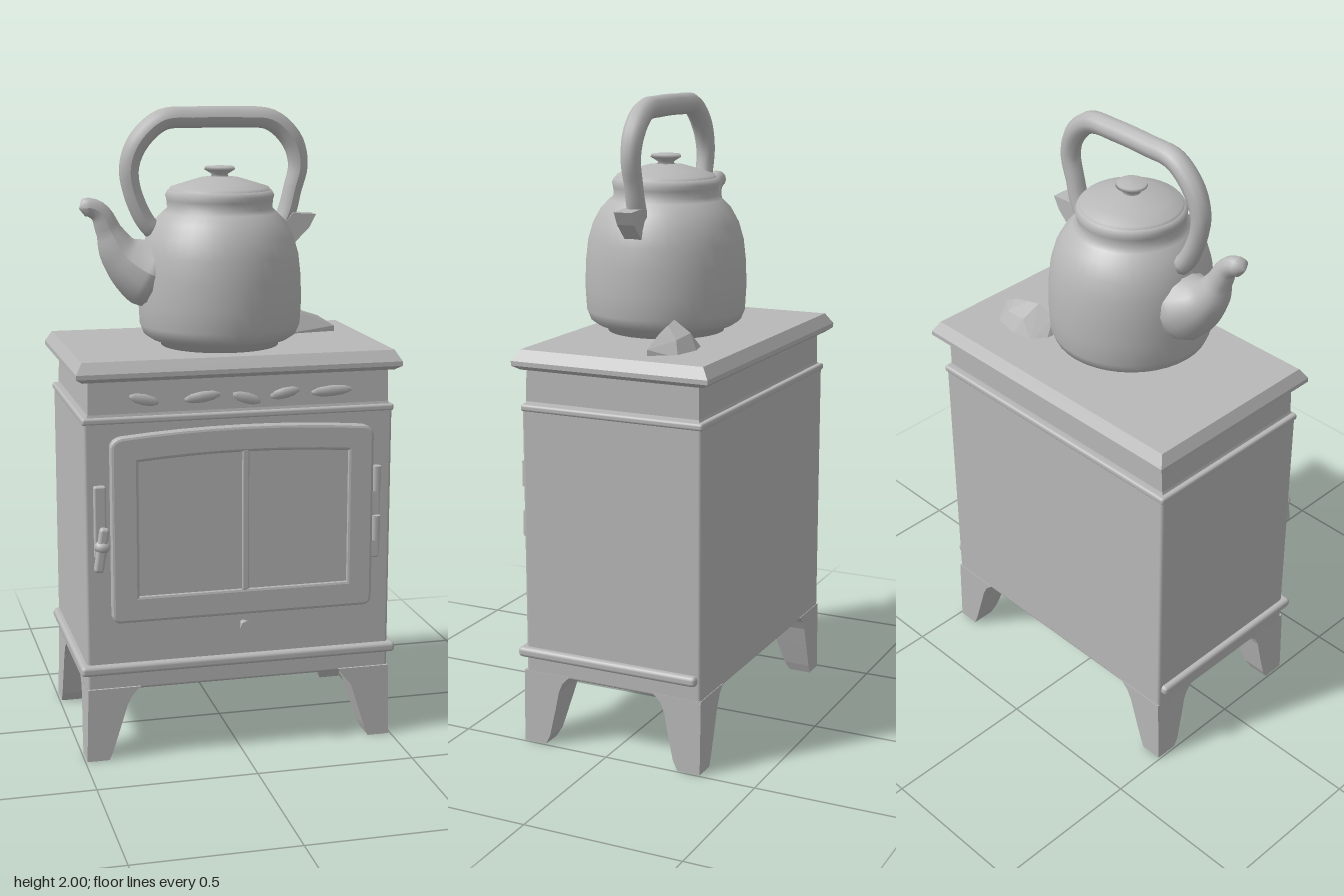
import * as THREE from 'three';
import { ConvexGeometry } from 'three/addons/geometries/ConvexGeometry.js';
import { RoundedBoxGeometry } from 'three/addons/geometries/RoundedBoxGeometry.js';

export function createModel() {
  const model = new THREE.Group();
  const iron = new THREE.MeshStandardMaterial({ color: 0xb8b8b8 });
  iron.name = 'grey iron';

  const add = (name, geometry, x = 0, y = 0, z = 0, parent = model) => {
    const mesh = new THREE.Mesh(geometry, iron);
    mesh.name = name;
    mesh.position.set(x, y, z);
    parent.add(mesh);
    return mesh;
  };

  // Box given by its two corners, with softened edges
  const block = (name, x0, x1, y0, y1, z0, z1, r = 0.006, parent = model) =>
    add(name, new RoundedBoxGeometry(x1 - x0, y1 - y0, z1 - z0, 2, r),
      (x0 + x1) / 2, (y0 + y1) / 2, (z0 + z1) / 2, parent);

  // Rectangular loft through levels [y, x0, x1, z0, z1], bottom to top
  const rectLoft = (levels) => {
    const rings = levels.map(([y, a, b, c, d]) => [[a, y, d], [b, y, d], [b, y, c], [a, y, c]]);
    const pos = [];
    const quad = (p, q, r, s) => pos.push(...p, ...q, ...r, ...p, ...r, ...s);
    for (let i = 0; i + 1 < rings.length; i++) {
      for (let k = 0; k < 4; k++) {
        const n = (k + 1) % 4;
        quad(rings[i][k], rings[i][n], rings[i + 1][n], rings[i + 1][k]);
      }
    }
    quad(...[...rings[0]].reverse());
    quad(...rings[rings.length - 1]);
    const g = new THREE.BufferGeometry();
    g.setAttribute('position', new THREE.Float32BufferAttribute(pos, 3));
    g.computeVertexNormals();
    return g;
  };

  // Round tube along points [x, y, z, radius], closed at both ends
  const taperTube = (points, segments, sides) => {
    const path = new THREE.CatmullRomCurve3(points.map((p) => new THREE.Vector3(p[0], p[1], p[2])));
    const g = new THREE.TubeGeometry(path, segments, 1, sides, false);
    const pos = g.attributes.position;
    const v = new THREE.Vector3();
    for (let i = 0; i <= segments; i++) {
      const c = path.getPointAt(i / segments);
      const t = path.getUtoTmapping(i / segments) * (points.length - 1);
      const k = Math.min(Math.floor(t), points.length - 2);
      let r = THREE.MathUtils.lerp(points[k][3], points[k + 1][3], t - k);
      if (i === 0 || i === segments) r = 0.001;
      for (let j = 0; j <= sides; j++) {
        const n = i * (sides + 1) + j;
        v.fromBufferAttribute(pos, n).sub(c).multiplyScalar(r).add(c);
        pos.setXYZ(n, v.x, v.y, v.z);
      }
    }
    g.computeVertexNormals();
    return g;
  };

  // Stove casing
  block('body', -0.488, 0.486, 0.225, 1.085, -0.315, 0.285, 0.01);
  add('neck', rectLoft([
    [1.07, -0.485, 0.483, -0.312, 0.284],
    [1.1, -0.474, 0.474, -0.302, 0.276],
    [1.215, -0.47, 0.474, -0.302, 0.272],
  ]));
  block('upperMoulding', -0.493, 0.491, 1.07, 1.092, -0.32, 0.288, 0.008);
  add('topPlate', rectLoft([
    [1.2, -0.49, 0.49, -0.325, 0.285],
    [1.214, -0.51, 0.51, -0.345, 0.305],
    [1.228, -0.51, 0.51, -0.345, 0.305],
    [1.262, -0.49, 0.49, -0.322, 0.283],
  ]));

  // Base moulding on the front and sides
  block('baseMoulding', -0.508, 0.506, 0.282, 0.314, -0.305, 0.306, 0.012);

  // Flared legs
  const legs = new THREE.Group();
  legs.name = 'legs';
  model.add(legs);
  const flare = [[0.01, 0.07, 0.075], [0.03, 0.082, 0.09], [0.12, 0.108, 0.11],
    [0.18, 0.125, 0.122], [0.21, 0.14, 0.135], [0.235, 0.165, 0.16]];
  for (const sx of [-1, 1]) {
    for (const front of [true, false]) {
      const levels = flare.map(([y, w, d], i) => {
        const out = 0.494 - y * 0.03;
        const [x0, x1] = sx > 0 ? [out - w, out] : [-out, -out + w];
        const f = 0.292, b = -0.317;
        return [i ? y : 0, x0, x1, front ? f - d : b, front ? f : b + d];
      });
      add((front ? 'front' : 'back') + (sx > 0 ? 'LeftLeg' : 'RightLeg'), rectLoft(levels), 0, 0, 0, legs);
    }
  }

  // Door with gently arched top, framed window and centre bar
  const door = new THREE.Group();
  door.name = 'door';
  model.add(door);
  const outline = new THREE.Shape();
  outline.moveTo(-0.385, 0.46);
  outline.lineTo(0.39, 0.46);
  outline.quadraticCurveTo(0.41, 0.46, 0.41, 0.48);
  outline.lineTo(0.41, 1.0);
  outline.quadraticCurveTo(0.408, 1.02, 0.385, 1.025);
  outline.quadraticCurveTo(0, 1.06, -0.375, 1.025);
  outline.quadraticCurveTo(-0.402, 1.02, -0.402, 1.0);
  outline.lineTo(-0.402, 0.48);
  outline.quadraticCurveTo(-0.402, 0.46, -0.385, 0.46);
  const opening = new THREE.Path();
  opening.moveTo(-0.335, 0.525);
  opening.lineTo(-0.335, 0.965);
  opening.quadraticCurveTo(0, 0.995, 0.345, 0.965);
  opening.lineTo(0.345, 0.525);
  opening.closePath();
  outline.holes.push(opening);
  add('doorFrame', new THREE.ExtrudeGeometry(outline, {
    depth: 0.03, bevelThickness: 0.007, bevelSize: 0.009, bevelSegments: 2, curveSegments: 8,
  }), 0, 0, 0.278, door);
  block('windowPanel', -0.35, 0.36, 0.51, 0.99, 0.28, 0.308, 0.003, door);
  block('windowBar', -0.003, 0.019, 0.53, 0.98, 0.3, 0.314, 0.005, door);

  // Door latch and hinges
  block('latchPlate', -0.462, -0.425, 0.66, 0.885, 0.28, 0.305, 0.006, door);
  const latch = block('latchHandle', -0.458, -0.428, 0.62, 0.76, 0.3, 0.328, 0.01, door);
  latch.rotation.z = -0.15;
  const latchKnob = add('latchKnob', new THREE.SphereGeometry(0.026, 8, 6), -0.44, 0.7, 0.312, door);
  latchKnob.scale.y = 0.8;
  block('hingePlate', 0.418, 0.448, 0.6, 0.88, 0.278, 0.298, 0.006, door);
  for (const y of [0.7, 0.86]) {
    add('hingePin', new THREE.CylinderGeometry(0.015, 0.015, 0.08, 8), 0.432, y, 0.302, door);
  }

  // Air control knob below the door
  const knob = add('airKnob', new THREE.CylinderGeometry(0.023, 0.016, 0.03, 8), 0.007, 0.415, 0.325);
  knob.rotation.x = Math.PI / 2;
  const stem = add('airKnobStem', new THREE.CylinderGeometry(0.01, 0.01, 0.05, 8), 0.007, 0.415, 0.3);
  stem.rotation.x = Math.PI / 2;

  // Small worn ornaments on the neck
  for (const [x, y, w, tilt] of [[-0.3, 1.14, 0.1, -0.25], [-0.12, 1.14, 0.12, 0.12],
    [0.02, 1.13, 0.1, -0.3], [0.14, 1.14, 0.1, 0.2], [0.29, 1.14, 0.14, 0.05]]) {
    const bump = add('neckOrnament', new THREE.SphereGeometry(0.5, 8, 5), x, y, 0.274);
    bump.scale.set(w, 0.035, 0.018);
    bump.rotation.z = tilt;
  }

  // Kettle
  const kettle = new THREE.Group();
  kettle.name = 'kettle';
  kettle.position.set(-0.008, 0, 0.037);
  model.add(kettle);
  const lathe = (name, pts) => add(name, new THREE.LatheGeometry(
    pts.map((p) => new THREE.Vector2(p[0], p[1])), 40), 0, 0, 0, kettle);
  lathe('kettleBody', [[0, 1.26], [0.185, 1.26], [0.185, 1.28], [0.218, 1.285], [0.24, 1.3],
    [0.252, 1.33], [0.256, 1.4], [0.254, 1.48], [0.246, 1.55], [0.23, 1.605], [0.205, 1.65],
    [0.178, 1.677], [0.164, 1.69], [0.166, 1.715], [0.17, 1.73], [0.162, 1.745], [0.14, 1.747]]);
  lathe('lid', [[0.16, 1.74], [0.154, 1.754], [0.11, 1.768], [0.06, 1.783], [0, 1.79]]);
  lathe('lidKnob', [[0.032, 1.78], [0.024, 1.793], [0.048, 1.808], [0.045, 1.817], [0, 1.82]]);

  add('spout', taperTube([[-0.14, 1.47, 0, 0.1], [-0.24, 1.5, 0, 0.11], [-0.315, 1.555, 0.004, 0.066],
    [-0.352, 1.625, 0.008, 0.04], [-0.378, 1.68, 0.011, 0.032],
    [-0.41, 1.7, 0.012, 0.03], [-0.444, 1.697, 0.013, 0.026]], 28, 14), 0, 0, 0, kettle);

  // Arched carrying handle with its lugs
  const r = 0.034;
  add('handle', taperTube([[-0.2, 1.61, -0.006, 0.03], [-0.24, 1.66, -0.006, 0.03],
    [-0.277, 1.75, -0.006, 0.029], [-0.284, 1.82, -0.006, 0.031], [-0.255, 1.895, -0.006, r],
    [-0.18, 1.96, -0.006, r], [-0.08, 1.967, -0.006, r], [0.06, 1.967, -0.006, r],
    [0.165, 1.957, -0.006, r], [0.233, 1.895, -0.006, r], [0.254, 1.82, -0.006, 0.031],
    [0.236, 1.74, -0.006, 0.029], [0.218, 1.67, -0.006, 0.03], [0.19, 1.61, -0.006, 0.03]],
  64, 10), 0, 0, 0, kettle);
  const lugPoints = [];
  for (const z of [-0.032, 0.026]) {
    for (const [x, y] of [[0.19, 1.62], [0.235, 1.575], [0.285, 1.625], [0.306, 1.665], [0.23, 1.67]]) {
      lugPoints.push(new THREE.Vector3(x, y, z));
    }
  }
  add('handleLug', new ConvexGeometry(lugPoints), 0, 0, 0, kettle);

  // Folded cloth lying behind the kettle
  const cloth = [[0.17, 1.255, -0.07], [0.415, 1.255, -0.105], [0.4, 1.255, -0.13], [0.37, 1.255, -0.185],
    [0.28, 1.255, -0.205], [0.21, 1.255, -0.19], [0.18, 1.255, -0.15], [0.415, 1.28, -0.105],
    [0.36, 1.315, -0.115], [0.3, 1.335, -0.12], [0.25, 1.345, -0.115], [0.2, 1.31, -0.1],
    [0.34, 1.3, -0.165], [0.26, 1.31, -0.175]];
  add('cloth', new ConvexGeometry(cloth.map((p) => new THREE.Vector3(...p))));

  return model;
}
